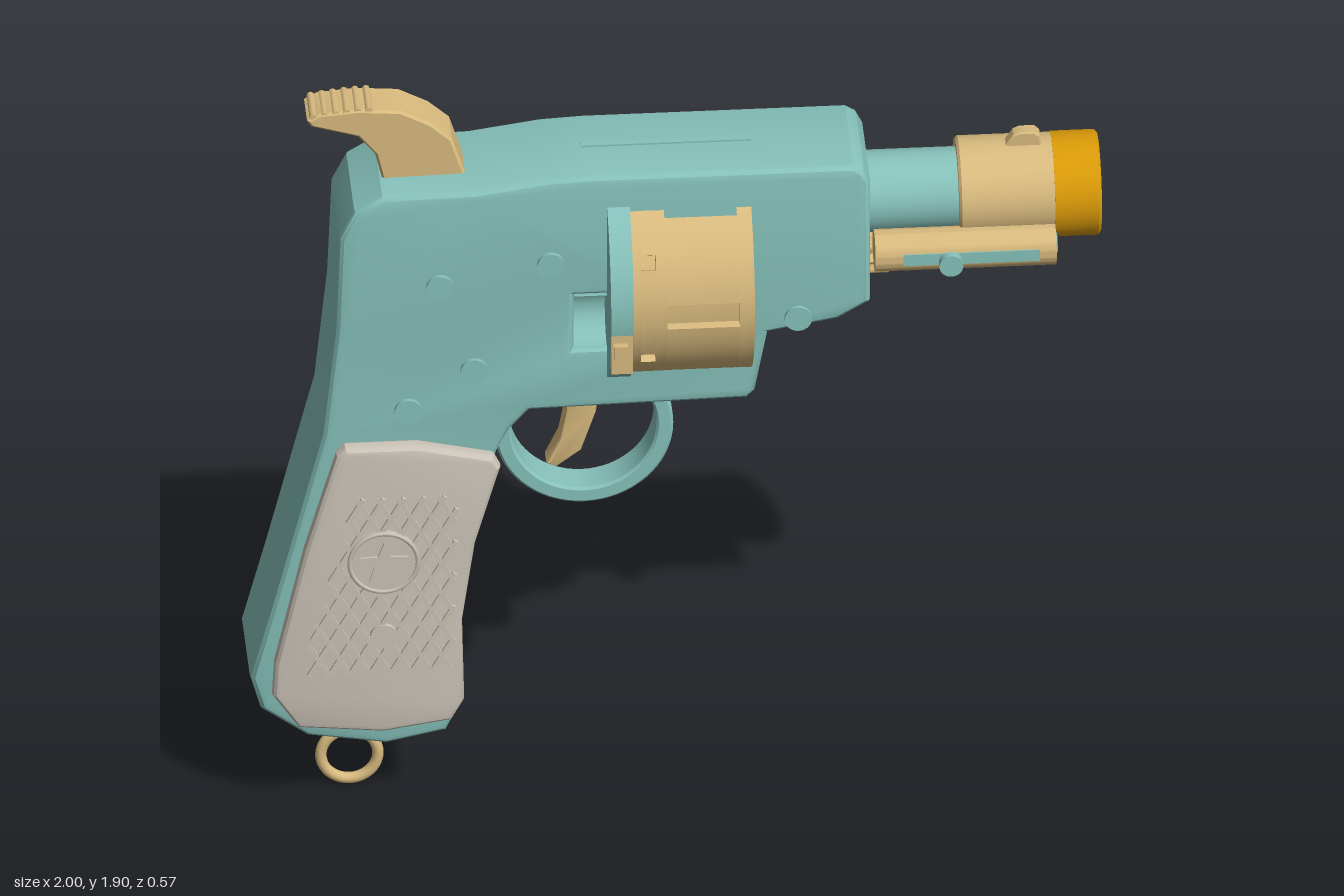
import * as THREE from 'three';
import { toCreasedNormals } from 'three/addons/utils/BufferGeometryUtils.js';

const ZC = -0.005; // middle plane of the body

function makeMaterial(name, color, side = THREE.FrontSide) {
  const m = new THREE.MeshStandardMaterial({ color, side });
  m.name = name;
  return m;
}

export function createModel() {
  const model = new THREE.Group();
  model.name = 'toyRevolver';
  const teal = makeMaterial('teal', 0x86c1ba, THREE.DoubleSide);
  const gold = makeMaterial('paleGold', 0xd8ba7e);
  const stone = makeMaterial('warmGrey', 0xcbc3b8);
  const amber = makeMaterial('amber', 0xda9a08);

  function add(name, geo, mat, x = 0, y = 0, z = 0, parent = model) {
    const mesh = new THREE.Mesh(geo, mat);
    mesh.name = name;
    mesh.position.set(x, y, z);
    parent.add(mesh);
    return mesh;
  }
  const toShape = (pts) => new THREE.Shape(pts.map(([x, y]) => new THREE.Vector2(x, y)));

  // Side-profile slab from z0 to z1 with bevels kept inside the outline
  function slab(shape, z0, z1, bevel = 0.01, segs = 2, crease = 0.45) {
    const g = new THREE.ExtrudeGeometry(shape, {
      depth: z1 - z0 - 2 * bevel, bevelEnabled: bevel > 0, bevelThickness: bevel,
      bevelSize: bevel, bevelOffset: -bevel, bevelSegments: segs, curveSegments: 32,
    });
    g.translate(0, 0, z0 + bevel);
    return toCreasedNormals(g, crease);
  }
  // Turned part along x; profile pairs are [x, radius]
  function turned(pts) {
    const g = new THREE.LatheGeometry(pts.map(([x, r]) => new THREE.Vector2(r, x)), 48);
    return toCreasedNormals(g.rotateZ(-Math.PI / 2), 0.6);
  }
  const rod = (x0, x1, r) => turned([[x0, 0], [x0, r], [x1, r], [x1, 0]]);
  const box = (x0, x1, y0, y1, z0, z1) =>
    new THREE.BoxGeometry(x1 - x0, y1 - y0, z1 - z0).translate((x0 + x1) / 2, (y0 + y1) / 2, (z0 + z1) / 2);
  const disc = (r, h) => new THREE.CylinderGeometry(r, r, h, 28).rotateX(Math.PI / 2);

  // Frame and grip, with a loading recess open to the front
  const frame = toShape([
    [-0.69, 1.71], [-0.755, 1.67], [-0.79, 1.6], [-0.8, 1.35], [-0.83, 1.06], [-0.945, 0.6],
    [-1, 0.39], [-0.975, 0.3], [-0.865, 0.22], [-0.68, 0.19], [-0.54, 0.22], [-0.5, 0.3],
    [-0.51, 0.55], [-0.49, 0.76], [-0.42, 0.99], [-0.39, 1.05], [-0.345, 1.1], [0.165, 1.11],
    [0.185, 1.13], [0.215, 1.29], [0.38, 1.32], [0.455, 1.365], [0.455, 1.7], [0.44, 1.73],
    [0.415, 1.745], [-0.2, 1.745], [-0.3, 1.74], [-0.47, 1.715],
  ]);
  frame.holes.push(new THREE.Path([[-0.24, 1.27], [-0.24, 1.415], [-0.13, 1.415], [-0.13, 1.27]]
    .map(([x, y]) => new THREE.Vector2(x, y))));
  add('frame', slab(frame, ZC - 0.143, ZC + 0.143, 0.022, 3), teal);
  add('recessBack', box(-0.27, -0.1, 1.24, 1.445, ZC - 0.143, 0.05), teal);
  const hollow = new THREE.CylinderGeometry(0.0725, 0.0725, 0.11, 20, 1, true, Math.PI / 2, Math.PI);
  add('recessHollow', hollow.rotateZ(Math.PI / 2), teal, -0.185, 1.3425, 0.135).rotation.x = 0;
  add('topRib', box(-0.215, 0.185, 1.744, 1.749, ZC - 0.009, ZC + 0.009), teal);

  // Frame pins on both sides
  const pins = [[-0.555, 1.46], [-0.295, 1.51], [-0.475, 1.225], [-0.63, 1.12], [0.285, 1.335]];
  for (const [x, y] of pins) add('framePin', disc(0.032, 0.306), teal, x, y, ZC);

  // Grip panels with chequering, star badge and screw
  const panel = toShape([
    [-0.8, 1.02], [-0.78, 1.04], [-0.61, 1.04], [-0.43, 1.0], [-0.415, 0.97], [-0.475, 0.76],
    [-0.505, 0.55], [-0.5, 0.33], [-0.53, 0.275], [-0.69, 0.25], [-0.89, 0.27], [-0.95, 0.36],
    [-0.945, 0.45], [-0.875, 0.76],
  ]);
  const star = new THREE.Shape(Array.from({ length: 10 }, (_, i) => {
    const a = Math.PI / 2 + i * Math.PI / 5, r = i % 2 ? 0.024 : 0.058;
    return new THREE.Vector2(r * Math.cos(a), r * Math.sin(a));
  }));
  const yLow = 0.42, yHigh = 0.91, slope = 0.56;
  for (const s of [1, -1]) {
    const grip = new THREE.Group();
    grip.name = s > 0 ? 'leftGripPanel' : 'rightGripPanel';
    grip.position.z = ZC;
    model.add(grip);
    const place = (name, g, z, x = 0, y = 0) => add(name, g, stone, x, y, s * z, grip);
    place('panel', slab(panel, -0.024, 0.024, 0.018, 3), 0.16);
    place('badge', disc(0.085, 0.02), 0.183, -0.69, 0.73);
    place('badgeRim', new THREE.TorusGeometry(0.08, 0.006, 6, 32), 0.192, -0.69, 0.73);
    place('star', slab(star, -0.004, 0.004, 0), 0.195, -0.69, 0.73);
    place('gripScrew', disc(0.032, 0.02), 0.185, -0.69, 0.525);
    // Crossed ridges clipped to the tapering chequered field
    for (const d of [1, -1]) for (let c = -1.25; c < -0.2; c += 0.048) {
      const ys = [];
      for (let y = yLow; y <= yHigh; y += 0.005) {
        const x = c + d * slope * (y - yLow);
        if (x > -0.885 + 0.26 * (y - yLow) && x < -0.53 + 0.03 * (y - yLow)) ys.push(y);
      }
      if (ys.length < 6) continue;
      const a = ys[0], b = ys[ys.length - 1], mid = (a + b) / 2;
      const ridge = new THREE.BoxGeometry(0.011, (b - a) * Math.hypot(1, slope), 0.012);
      place('chequerRidge', ridge, 0.185, c + d * slope * (mid - yLow), mid).rotation.z = -d * Math.atan(slope);
    }
  }

  // Hammer with thumb serrations
  add('hammer', slab(toShape([
    [-0.86, 1.875], [-0.83, 1.892], [-0.74, 1.9], [-0.64, 1.892], [-0.57, 1.855], [-0.52, 1.81],
    [-0.485, 1.7], [-0.5, 1.66], [-0.67, 1.66], [-0.685, 1.71], [-0.7, 1.775], [-0.74, 1.825], [-0.85, 1.858],
  ]), ZC - 0.053, ZC + 0.053, 0.006, 1), gold);
  for (let i = 0; i < 6; i++) {
    const ridge = new THREE.CylinderGeometry(0.009, 0.009, 0.1, 8).rotateX(Math.PI / 2);
    add('hammerSerration', ridge, gold, -0.845 + i * 0.026, 1.883 + 0.013 * Math.sin(i * 0.3), ZC);
  }

  // Trigger and round guard
  add('trigger', slab(toShape([
    [-0.27, 1.14], [-0.17, 1.14], [-0.18, 1.02], [-0.215, 0.915], [-0.275, 0.87], [-0.297, 0.882],
    [-0.265, 0.95], [-0.25, 1.03],
  ]), ZC - 0.03, ZC + 0.03, 0.008, 2), gold);
  const guard = new THREE.Shape().absarc(0, 0, 0.21, 0, Math.PI * 2);
  guard.holes.push(new THREE.Path().absarc(0, 0, 0.17, 0, Math.PI * 2, true));
  add('triggerGuard', slab(guard, -0.045, 0.045, 0.006, 1), teal, -0.21, 0.99, ZC);

  // Drum in slices along x: plain, small notches or long flutes, with six bored chambers
  const drum = new THREE.Group();
  drum.name = 'drum';
  drum.position.set(0, 1.425, ZC);
  model.add(drum);
  const R = 0.265;
  function drumSlice(x0, x1, half, offset) {
    const pts = [];
    for (let k = 0; k < 6; k++) {
      const a = k * Math.PI / 3 + offset;
      const put = (t, r) => pts.push(new THREE.Vector2(r * Math.cos(t), r * Math.sin(t)));
      if (half) { put(a - half, R); put(a - half, R - 0.022); put(a, R - 0.022); put(a + half, R - 0.022); }
      for (let i = 0; i < 9; i++) put(a + half + i * (Math.PI / 3 - 2 * half) / 9, R);
    }
    const shape = new THREE.Shape(pts);
    for (let k = 0; k < 6; k++) {
      const a = (k + 0.5) * Math.PI / 3;
      shape.holes.push(new THREE.Path().absarc(0.17 * Math.cos(a), 0.17 * Math.sin(a), 0.065, 0, Math.PI * 2, true));
    }
    add('drumSlice', slab(shape, x0, x1, 0).rotateY(Math.PI / 2), gold, 0, 0, 0, drum);
  }
  drumSlice(-0.11, -0.09, 0, 0);
  drumSlice(-0.09, -0.055, 0.07, Math.PI / 6);
  drumSlice(-0.055, -0.03, 0, 0);
  drumSlice(-0.03, 0.14, 0.125, 0);
  drumSlice(0.14, 0.175, 0, 0);
  for (const a of [-Math.PI / 6, -5 * Math.PI / 6]) // closed lower chambers
    add('chamberPlug', rod(-0.1, 0.13, 0.066), gold, 0, 0.17 * Math.sin(a), 0.17 * Math.cos(a), drum);
  add('recoilPlate', rod(-0.163, -0.11, 0.276), teal, 0, 0, 0, drum);
  add('loadingGate', box(-0.162, -0.112, 1.28, 1.41, 0.2, 0.268), gold);
  add('gateNub', box(-0.157, -0.125, 1.33, 1.365, 0.26, 0.285), gold);

  // Barrel, sleeve and hollow muzzle
  const barrelY = 1.586;
  add('barrel', rod(0.44, 0.68, 0.097), teal, 0, barrelY, ZC);
  add('barrelSleeve', turned([[0.666, 0], [0.666, 0.116], [0.672, 0.122], [0.892, 0.122], [0.892, 0]]), gold, 0, barrelY, ZC);
  add('muzzle', turned([[0.89, 0], [0.89, 0.124], [0.993, 0.124], [1, 0.117], [1, 0.074], [0.92, 0.074]]), amber, 0, barrelY, ZC);
  add('muzzlePlug', rod(0.9, 0.935, 0.074), teal, 0, barrelY, ZC);
  add('muzzleTip', rod(0.93, 0.945, 0.03), teal, 0, barrelY, ZC);
  add('frontSight', slab(toShape([
    [0.77, 1.69], [0.8, 1.735], [0.815, 1.742], [0.85, 1.742], [0.862, 1.73], [0.866, 1.69],
  ]), ZC - 0.018, ZC + 0.018, 0.004, 1), gold);

  // Ejector tube with its slot and thumb pin
  const ejY = 1.498, ejZ = 0.116;
  add('ejectorTube', rod(0.465, 0.89, 0.05), gold, 0, ejY, ejZ);
  add('ejectorRodEnd', rod(0.88, 0.894, 0.025), teal, 0, ejY, ejZ);
  add('ejectorSlot', box(0.53, 0.85, ejY - 0.015, ejY + 0.015, 0.158, 0.167), teal);
  add('ejectorPin', disc(0.014, 0.06), teal, 0.64, ejY, 0.165);
  add('ejectorPinHead', disc(0.028, 0.02), teal, 0.64, ejY, 0.19);

  // Scalloped axle knob
  const knob = new THREE.Shape(Array.from({ length: 60 }, (_, i) => {
    const a = i * Math.PI / 30, r = 0.053 + 0.006 * Math.cos(10 * a);
    return new THREE.Vector2(r * Math.cos(a), r * Math.sin(a));
  }));
  add('axleKnob', slab(knob, 0.44, 0.51, 0.005, 1).rotateY(Math.PI / 2), gold, 0, 1.425, ZC);

  // Lanyard ring
  add('lanyardRing', new THREE.TorusGeometry(0.067, 0.0135, 12, 40), gold, -0.757, 0.0805, ZC);
  add('lanyardLug', box(-0.782, -0.732, 0.145, 0.178, ZC - 0.022, ZC + 0.022), gold);

  return model;
}
